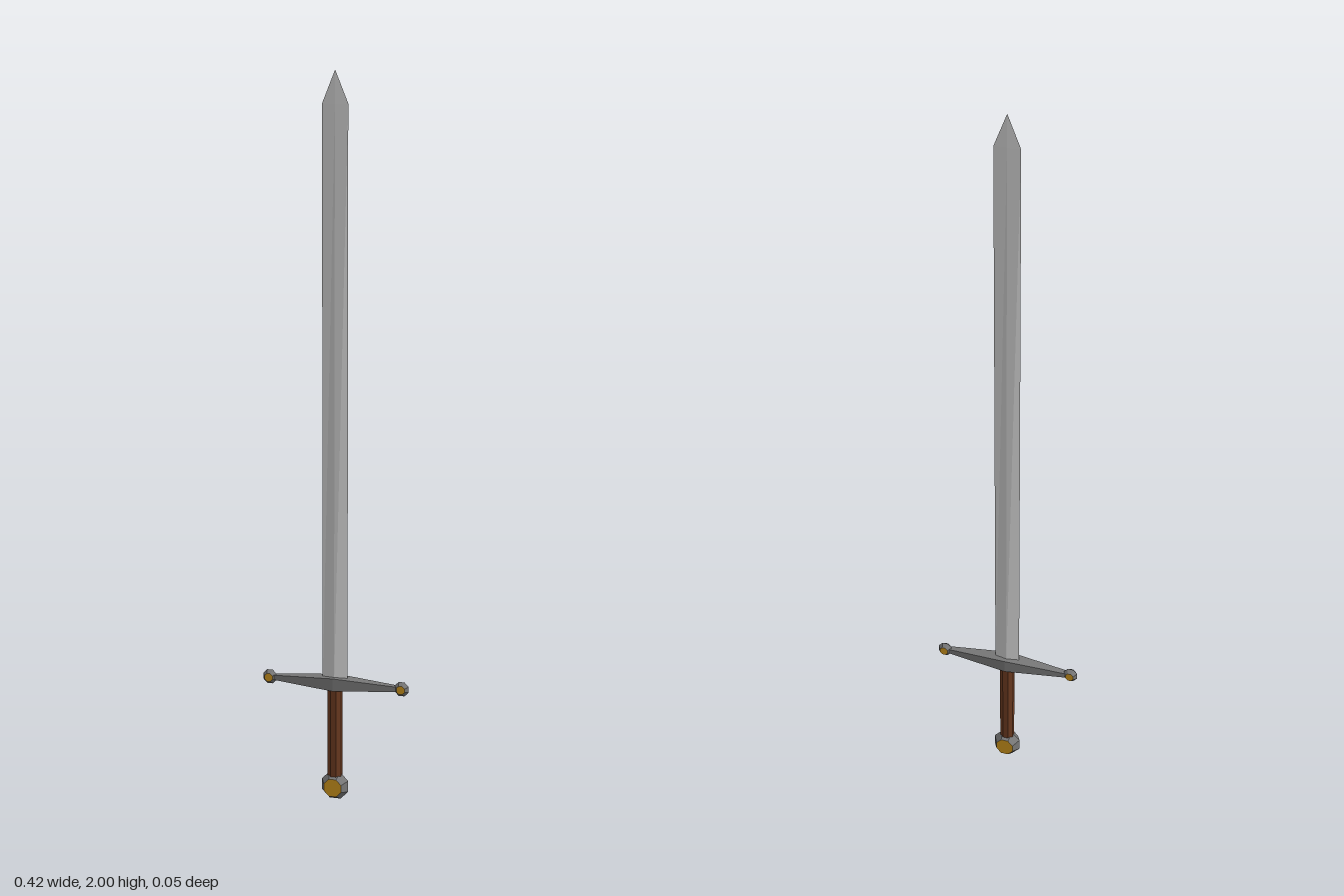
import * as THREE from 'three';

const mat = (color) => new THREE.MeshStandardMaterial({ color, flatShading: true });
const steel = mat(0xcccccc);
const darkSteel = mat(0x777777);
const leather = mat(0x6b3a20);
const gold = mat(0xc8901c);

function add(parent, name, geometry, material) {
  const mesh = new THREE.Mesh(geometry, material);
  mesh.name = name;
  parent.add(mesh);
  return mesh;
}

// Moves every vertex of a geometry by a rule
function reshape(geometry, rule) {
  const p = geometry.attributes.position;
  const v = new THREE.Vector3();
  for (let i = 0; i < p.count; i++) {
    rule(v.fromBufferAttribute(p, i));
    p.setXYZ(i, v.x, v.y, v.z);
  }
  geometry.computeVertexNormals();
  return geometry;
}

// Eight-sided knob bevelled to a gold face at front and back
function knob(name, radius, faceRadius, depth) {
  const group = new THREE.Group();
  group.name = name;
  const side = (z) => {
    const g = new THREE.CylinderGeometry(faceRadius, radius, depth, 8, 1, true);
    g.rotateY(Math.PI / 8).translate(0, depth / 2, 0).rotateX(z * Math.PI / 2);
    return g;
  };
  for (const z of [1, -1]) {
    add(group, 'knobRim', side(z), darkSteel);
    const cap = new THREE.CircleGeometry(faceRadius, 8, Math.PI / 8);
    cap.translate(0, 0, depth);
    if (z < 0) cap.rotateY(Math.PI);
    add(group, 'knobFace', cap, gold);
  }
  return group;
}

export function createModel() {
  const sword = new THREE.Group();
  sword.name = 'sword';

  // Blade: diamond section thinning upwards, closing to a point
  const rows = [
    { y: 0.335, w: 0.036, t: 0.01 },
    { y: 1.913, w: 0.036, t: 0.0015 },
    { y: 2.0, w: 0, t: 0 },
  ];
  add(sword, 'blade', reshape(new THREE.CylinderGeometry(1, 1, 2, 4, 2), (v) => {
    const r = rows[Math.round(v.y + 1)];
    v.set(v.x * r.w, r.y, v.z * r.t);
  }), steel);

  // Crossguard: bar thickest in the middle, tapering to both ends
  const guard = reshape(new THREE.BoxGeometry(0.38, 2, 2, 2, 1, 1), (v) => {
    const k = Math.abs(v.x) / 0.19;
    v.y *= THREE.MathUtils.lerp(0.018, 0.006, k);
    v.z *= THREE.MathUtils.lerp(0.024, 0.007, k);
  });
  add(sword, 'crossguard', guard, darkSteel).position.y = 0.337;

  // Guard end knobs
  for (const s of [1, -1]) {
    const end = knob(s > 0 ? 'leftGuardKnob' : 'rightGuardKnob', 0.0215, 0.0125, 0.0125);
    end.position.set(s * 0.191, 0.337, 0);
    sword.add(end);
  }

  // Grip
  const grip = new THREE.CylinderGeometry(0.02, 0.02, 0.27, 8);
  grip.rotateY(Math.PI / 8).scale(1.05, 1, 0.92);
  add(sword, 'grip', grip, leather).position.y = 0.195;

  // Pommel
  const pommel = knob('pommel', 0.0415, 0.027, 0.0255);
  pommel.position.y = 0.0384;
  sword.add(pommel);

  return sword;
}
